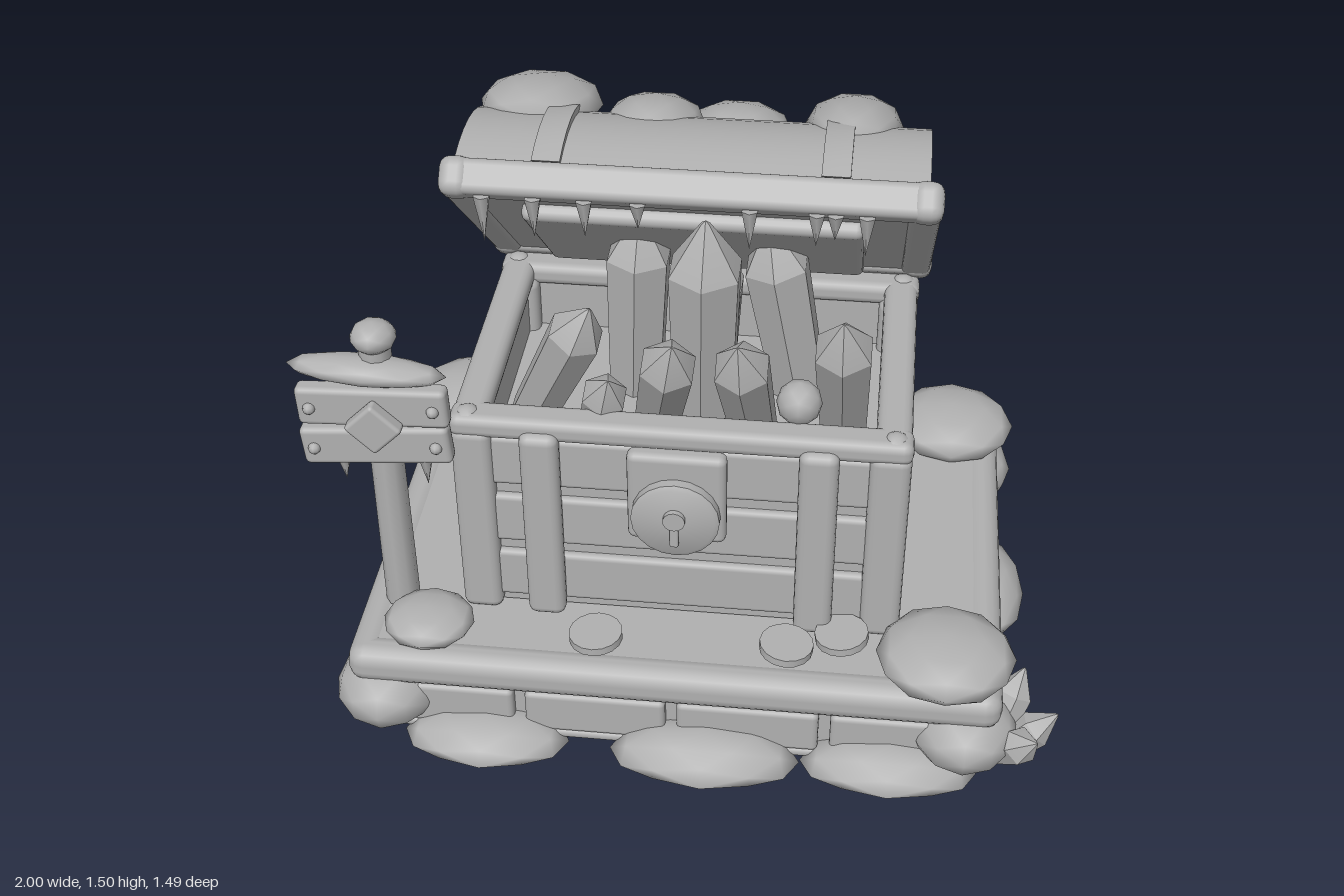
import * as THREE from 'three';
import { mergeVertices, toCreasedNormals } from 'three/addons/utils/BufferGeometryUtils.js';
import { RoundedBoxGeometry } from 'three/addons/geometries/RoundedBoxGeometry.js';

const clay = new THREE.MeshStandardMaterial({ color: 0xb0b0b0 });
clay.name = 'plain grey';

function add(parent, name, geo, pos = [0, 0, 0], rot = [0, 0, 0]) {
  const m = new THREE.Mesh(geo, clay);
  m.name = name;
  m.position.set(...pos);
  m.rotation.set(...rot);
  parent.add(m);
  return m;
}
const box = (w, h, d, r = 0.015) => new RoundedBoxGeometry(w, h, d, 2, Math.min(r, w / 2.1, h / 2.1, d / 2.1));

// low-poly smooth boulder; vertices below the ground are flattened onto it
function rock(parent, name, [x, y, z], [a, b, c], tiltX = 0, tiltZ = 0) {
  let g = new THREE.IcosahedronGeometry(1, 1);
  g.deleteAttribute('normal');
  g.deleteAttribute('uv');
  g = mergeVertices(g);
  g.scale(a, b, c).rotateX(tiltX).rotateZ(tiltZ).translate(x, y, z);
  const p = g.attributes.position;
  for (let i = 0; i < p.count; i++) p.setY(i, Math.max(0, p.getY(i)));
  g.computeVertexNormals();
  return add(parent, name, g);
}

// six-sided crystal from a base point to its tip
function crystal(parent, base, tip, r) {
  const a = new THREE.Vector3(...base), d = new THREE.Vector3(...tip).sub(a), L = d.length();
  const pts = [[0, 0], [r * 0.85, 0], [r, L - r * 1.5], [r * 0.12, L - r * 0.1], [0, L]].map(q => new THREE.Vector2(...q));
  const g = toCreasedNormals(new THREE.LatheGeometry(pts, 6), 0.5);
  const m = add(parent, 'crystal', g, base);
  m.quaternion.setFromUnitVectors(new THREE.Vector3(0, 1, 0), d.normalize());
}

function icicle(parent, x, y, z, len, r = 0.022) {
  add(parent, 'icicle', new THREE.ConeGeometry(r, len, 6), [x, y - len / 2, z], [Math.PI, 0, 0]);
}

function buildBase(root) {
  const g = new THREE.Group();
  g.name = 'base';
  root.add(g);
  add(g, 'foundation', new THREE.BoxGeometry(1.58, 0.16, 1.16), [0, 0.09, 0]);
  add(g, 'footing', box(1.64, 0.03, 1.22), [0, 0.022, 0]);
  add(g, 'slab', box(1.66, 0.1, 1.2), [0, 0.215, 0]);
  for (const s of [-1, 1]) {
    add(g, 'slabEdge', box(1.7, 0.11, 0.1, 0.045), [0, 0.215, s * 0.575]);
    add(g, 'slabEdge', box(0.1, 0.11, 1.24, 0.045), [s * 0.8, 0.215, 0]);
    for (let i = 0; i < 4; i++) add(g, 'stoneBlock', box(0.37, 0.13, 0.06), [-0.6 + i * 0.4, 0.097, s * 0.58]);
    for (let i = -1; i <= 1; i++) add(g, 'stoneBlock', box(0.06, 0.13, 0.34), [s * 0.79, 0.097, i * 0.38]);
  }
  // boulders on the slab corners and under them
  rock(g, 'cornerRock', [0.7, 0.3, 0.49], [0.18, 0.07, 0.17]);
  rock(g, 'cornerRock', [0.71, 0.3, -0.5], [0.18, 0.07, 0.17]);
  rock(g, 'cornerRock', [-0.7, 0.3, -0.5], [0.21, 0.07, 0.17]);
  rock(g, 'signRock', [-0.65, 0.29, 0.49], [0.12, 0.045, 0.11]);
  for (const x of [-1, 1]) for (const z of [-1, 1])
    rock(g, 'lowCornerRock', [x * 0.76, 0.105, z * 0.545], [0.14, 0.1, 0.145]);
  for (const [x, a] of [[-0.19, 0.16], [0.23, 0.19]])
    rock(g, 'backSlabRock', [x, 0.275, -0.53], [a, 0.035, 0.075]);
  // flat-bottomed rocks along the ground
  for (const [x, z, a, c, h] of [[-0.49, 0.61, 0.22, 0.12, 0.08], [0.09, 0.62, 0.25, 0.12, 0.095],
    [0.57, 0.61, 0.23, 0.11, 0.085], [-0.22, -0.63, 0.2, 0.115, 0.09], [0.43, -0.63, 0.23, 0.12, 0.09],
    [0.82, -0.1, 0.12, 0.21, 0.1], [-0.81, -0.19, 0.12, 0.23, 0.1]])
    rock(g, 'groundRock', [x, 0, z], [a, h, c]);
  // crystal clusters at two opposite corners
  for (const s of [-1, 1]) {
    crystal(g, [s * 0.84, 0.05, s * 0.53], [s * 0.91, 0.23, s * 0.44], 0.05);
    crystal(g, [s * 0.87, 0.045, s * 0.55], [s * 1.0, 0.15, s * 0.52], 0.05);
    crystal(g, [s * 0.86, 0.05, s * 0.56], [s * 0.94, 0.17, s * 0.65], 0.05);
  }
  for (const [x, z, t] of [[-0.205, 0.51, 0.04], [0.29, 0.5, -0.06], [0.43, 0.45, 0.1]])
    add(g, 'coin', new THREE.CylinderGeometry(0.07, 0.07, 0.022, 16), [x, 0.295 + Math.abs(t) * 0.1, z], [0, 0, t]);
}

function buildChest(root) {
  const g = new THREE.Group();
  g.name = 'chest';
  root.add(g);
  add(g, 'filling', new THREE.BoxGeometry(1.06, 0.42, 0.7), [0, 0.48, 0]);
  for (const s of [-1, 1]) {
    add(g, 'wall', new THREE.BoxGeometry(1.08, 0.58, 0.04), [0, 0.56, s * 0.345]);
    add(g, 'wall', new THREE.BoxGeometry(0.04, 0.58, 0.72), [s * 0.52, 0.56, 0]);
    for (const y of [0.375, 0.562, 0.75]) {
      add(g, 'plank', box(1.04, 0.152, 0.05), [0, y, s * 0.36]);
      add(g, 'plank', box(0.05, 0.152, 0.62), [s * 0.535, y, 0]);
    }
    add(g, 'rim', box(1.16, 0.065, 0.09, 0.025), [0, 0.858, s * 0.355]);
    add(g, 'rim', box(0.09, 0.065, 0.8, 0.025), [s * 0.53, 0.858, 0]);
    for (const z of [-1, 1]) {
      add(g, 'cornerPost', box(0.105, 0.59, 0.12, 0.025), [s * 0.525, 0.555, z * 0.343]);
      add(g, 'strap', box(0.1, 0.59, 0.06, 0.025), [s * 0.35, 0.565, z * 0.385 + 0.01]);
      add(g, 'rimCorner', new THREE.SphereGeometry(0.04, 10, 8), [s * 0.535, 0.86, z * 0.358]);
    }
    add(g, 'hinge', box(0.14, 0.07, 0.07, 0.03), [s * 0.35, 0.845, -0.425]);
  }
  // lock: plate, shallow disc and keyhole
  add(g, 'lockPlate', box(0.25, 0.27, 0.05, 0.02), [0, 0.715, 0.425]);
  const disc = [[0.112, -0.03], [0.112, 0.015], [0.1, 0.022], [0, 0.034]].map(q => new THREE.Vector2(...q));
  add(g, 'lockDisc', toCreasedNormals(new THREE.LatheGeometry(disc, 20), 0.6).rotateX(Math.PI / 2), [0, 0.672, 0.46]);
  add(g, 'keyhole', new THREE.CylinderGeometry(0.028, 0.028, 0.02, 14), [0, 0.69, 0.493], [Math.PI / 2, 0, 0]);
  add(g, 'keySlot', box(0.022, 0.08, 0.02, 0.005), [0, 0.645, 0.49]);
  // treasure crystals
  for (const [b, t, r] of [
    [[0.03, 0.65, 0.07], [0.04, 1.345, 0.14], 0.1], [[-0.17, 0.65, -0.08], [-0.15, 1.24, -0.06], 0.09],
    [[0.28, 0.65, -0.1], [0.18, 1.23, -0.06], 0.09], [[-0.43, 0.68, 0.08], [-0.24, 1.12, 0.22], 0.075],
    [[-0.1, 0.65, 0.08], [-0.02, 1.11, 0.35], 0.075], [[0.17, 0.65, 0.08], [0.14, 1.12, 0.35], 0.075],
    [[0.4, 0.65, 0.03], [0.39, 1.14, 0.25], 0.08], [[0.02, 0.65, -0.2], [0.03, 1.08, -0.2], 0.09],
    [[-0.24, 0.72, 0.18], [-0.18, 0.99, 0.34], 0.06]])
    crystal(g, b, t, r);
  rock(g, 'gem', [0.29, 0.92, 0.28], [0.058, 0.06, 0.058]);
}

// solid arch with half-width w and height h, running along x
function archGeo(w, h, len) {
  const R = (w * w + h * h) / (2 * h), a = Math.asin(w / R), pts = [];
  for (let i = 0; i <= 16; i++) {
    const q = -a + (2 * a * i) / 16;
    pts.push(new THREE.Vector2(R * Math.sin(q), R * Math.cos(q) - R + h));
  }
  const e = new THREE.ExtrudeGeometry(new THREE.Shape(pts), { depth: len, bevelEnabled: false });
  return toCreasedNormals(e.translate(0, 0, -len / 2).rotateY(Math.PI / 2), 0.6);
}

function buildLid(root) {
  const lid = new THREE.Group();
  lid.name = 'lid';
  lid.position.set(0, 1.207, -0.167);
  lid.rotation.x = -0.745;
  root.add(lid);
  add(lid, 'dome', archGeo(0.385, 0.215, 1.15));
  add(lid, 'lidBoard', box(1.1, 0.06, 0.72, 0.01), [0, -0.05, 0]);
  add(lid, 'lidInnerPanel', box(0.85, 0.05, 0.54, 0.02), [0, -0.095, 0]);
  for (const s of [-1, 1]) {
    add(lid, 'domeStrap', archGeo(0.4, 0.235, 0.07), [s * 0.35, 0, 0]);
    add(lid, 'lidRim', box(1.2, 0.09, 0.08, 0.02), [0, -0.045, s * 0.37]);
    add(lid, 'lidRim', box(0.08, 0.09, 0.8, 0.02), [s * 0.565, -0.045, 0]);
    for (const z of [-1, 1]) add(lid, 'lidCorner', box(0.08, 0.1, 0.09, 0.03), [s * 0.57, -0.045, z * 0.37]);
  }
  // mounds resting on the dome
  rock(root, 'lidMound', [-0.43, 1.42, -0.28], [0.16, 0.075, 0.185], -0.25);
  rock(root, 'lidMound', [-0.13, 1.4, -0.24], [0.13, 0.075, 0.16], -0.3);
  rock(root, 'lidMound', [0.07, 1.28, -0.43], [0.145, 0.08, 0.155], -0.25);
  rock(root, 'lidMound', [0.38, 1.41, -0.26], [0.125, 0.075, 0.2], -0.3);
  for (const [x, l] of [[-0.5, 0.13], [-0.375, 0.11], [-0.25, 0.1], [-0.12, 0.07], [0.15, 0.11], [0.31, 0.09], [0.355, 0.07], [0.43, 0.11]])
    icicle(root, x, 1.405, 0.18, l);
}

function buildSign(root) {
  const g = new THREE.Group();
  g.name = 'signpost';
  root.add(g);
  add(g, 'post', new THREE.CylinderGeometry(0.04, 0.045, 0.84, 10), [-0.745, 0.69, 0.385]);
  rock(g, 'postCap', [-0.745, 1.115, 0.385], [0.058, 0.042, 0.058]);
  for (const [y, t] of [[0.945, 0.04], [0.828, 0.08]]) {
    add(g, 'signBoard', box(0.38, 0.11, 0.05), [-0.75, y, 0.435], [0, 0, t]);
    for (const s of [-1, 1])
      add(g, 'bolt', new THREE.SphereGeometry(0.016, 8, 6), [-0.75 + s * 0.155, y + s * 0.155 * t, 0.462]);
  }
  add(g, 'signDiamond', box(0.105, 0.105, 0.04, 0.01), [-0.742, 0.905, 0.475], [0, 0, Math.PI / 4]);
  rock(g, 'signCap', [-0.765, 1.03, 0.41], [0.2, 0.035, 0.055], 0, -0.04);
  icicle(g, -0.84, 0.775, 0.435, 0.07, 0.018);
  icicle(g, -0.63, 0.785, 0.435, 0.08, 0.018);
}

export function createModel() {
  const root = new THREE.Group();
  root.name = 'treasureChest';
  buildBase(root);
  buildChest(root);
  buildLid(root);
  buildSign(root);
  return root;
}
